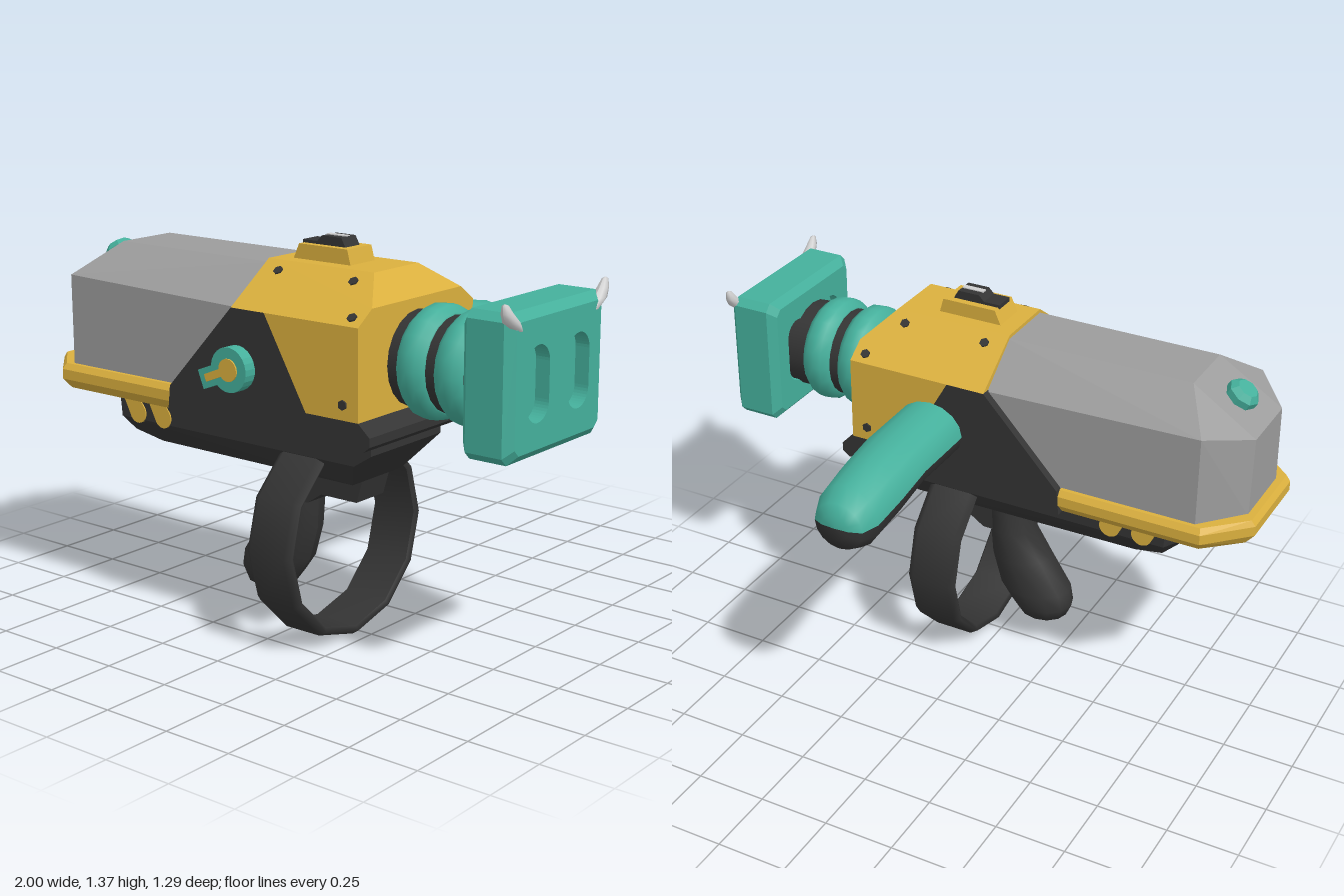
import * as THREE from 'three';
import { ConvexGeometry } from 'three/addons/geometries/ConvexGeometry.js';

const ZC = 0.285; // the long body is offset from the origin by this much
const mat = (name, color, extra = {}) => {
  const m = new THREE.MeshStandardMaterial({ color, ...extra });
  m.name = name;
  return m;
};
const V = (x, y, z) => new THREE.Vector3(x, y, z);

// Convex solid from [x, y, halfWidth] points mirrored in z
const hull = (pts) => new ConvexGeometry(pts.flatMap(([x, y, w]) => [V(x, y, w), V(x, y, -w)]));

// Side-profile plate, from z0 to z1
function plate(shape, z0, z1) {
  const s = Array.isArray(shape) ? new THREE.Shape(shape.map(([x, y]) => new THREE.Vector2(x, y))) : shape;
  return new THREE.ExtrudeGeometry(s, { depth: z1 - z0, bevelEnabled: false, curveSegments: 10 }).translate(0, 0, z0);
}

// Skin through elliptical sections { c, a, b }, radii a and b along u and v
function loft(sections, u, v, n = 12, start = 0, sweep = Math.PI * 2) {
  const pos = [], idx = [];
  sections.forEach(({ c, a, b }, i) => {
    for (let j = 0; j <= n; j++) {
      const t = start + (sweep * j) / n;
      const p = c.clone().addScaledVector(u, a * Math.cos(t)).addScaledVector(v, b * Math.sin(t));
      pos.push(p.x, p.y, p.z);
      if (i < sections.length - 1 && j < n) {
        const k = i * (n + 1) + j, m = k + n + 1;
        idx.push(k, k + 1, m, k + 1, m + 1, m);
      }
    }
  });
  const g = new THREE.BufferGeometry();
  g.setAttribute('position', new THREE.Float32BufferAttribute(pos, 3));
  g.setIndex(idx);
  g.computeVertexNormals();
  return g;
}

export function createModel() {
  const root = new THREE.Group();
  root.name = 'blaster';
  const body = new THREE.Group();
  body.name = 'body';
  body.position.z = ZC;
  root.add(body);

  const gray = mat('gray', 0x9c9c9c);
  const dark = mat('charcoal', 0x343434);
  const yellow = mat('yellow', 0xdbb03e);
  const teal = mat('teal', 0x45b09c);
  const light = mat('lightGray', 0xcfcfcf);

  const add = (name, geo, m, x = 0, y = 0, z = 0) => {
    const mesh = new THREE.Mesh(geo, m);
    mesh.name = name;
    mesh.position.set(x, y, z);
    body.add(mesh);
    return mesh;
  };

  // Gray rear casing with chamfered end
  add('casing', hull([
    [-0.96, 0.84, 0.13], [-0.83, 0.84, 0.275], [-0.05, 0.84, 0.275],
    [-0.96, 1.125, 0.12], [-0.83, 1.165, 0.275], [-0.05, 1.145, 0.275],
    [-0.73, 1.272, 0.115], [-0.05, 1.272, 0.115],
  ]), gray);

  // Charcoal middle panel and base plate
  add('midPanel', plate([[-0.06, 1.15], [-0.34, 0.85], [-0.35, 0.76], [0.48, 0.76], [0.505, 0.78],
    [0.505, 0.81], [0.46, 0.85], [0.25, 0.85], [0.08, 1.15]], -0.305, 0.305), dark);

  // Yellow bumper around the rear base
  const rim = (y, d) => [[-1 + d, y, 0.165], [-0.86 + d * 0.4, y, 0.305 - d], [-0.345, y, 0.305 - d]];
  add('bumper', hull([...rim(0.85, 0.015), ...rim(0.83, 0), ...rim(0.795, 0), ...rim(0.76, 0.03)]), yellow);

  // Yellow front housing
  add('housingTop', hull([
    [-0.06, 1.15, 0.305], [0.46, 1.15, 0.305], [-0.06, 1.285, 0.115],
    [0.375, 1.285, 0.115], [0.46, 1.2, 0.235],
  ]), yellow);
  add('housingSide', hull([[0.08, 1.15, 0.305], [0.25, 0.85, 0.305], [0.46, 0.85, 0.305], [0.46, 1.15, 0.305]]), yellow);

  // Bolts on the housing, mirrored
  for (const s of [1, -1]) {
    for (const [x, y, z, tilt] of [[0.015, 1.256, 0.155, 0.63], [0.325, 1.256, 0.155, 0.63],
      [0.415, 1.171, 0.276, 0.63], [0.4, 0.9, 0.305, Math.PI / 2]]) {
      add('bolt', new THREE.CylinderGeometry(0.017, 0.017, 0.012, 6), dark, x, y, z * s).rotation.x = tilt * s;
    }
  }

  // Sight on the housing
  add('sightBase', plate([[0, 1.28], [0.24, 1.28], [0.225, 1.335], [0.025, 1.335]], -0.063, 0.063), yellow);
  add('sight', plate([[0.02, 1.33], [0.2, 1.33], [0.18, 1.365], [0.1, 1.365], [0.08, 1.345], [0.02, 1.345]], -0.037, 0.037), dark);
  add('sightMark', new THREE.BoxGeometry(0.08, 0.006, 0.022), light, 0.138, 1.365, 0);

  // Knob on the sloped end
  const knob = add('knob', new THREE.LatheGeometry(
    [[0.04, -0.03], [0.04, 0.005], [0.058, 0.005], [0.058, 0.03], [0.038, 0.05], [0, 0.05]].map(([x, y]) => new THREE.Vector2(x, y)), 8)
    .toNonIndexed(), teal, -0.85, 1.195, 0);
  knob.geometry.computeVertexNormals();
  knob.rotation.z = 0.58;

  // Key-shaped badge on the front side
  const keyhole = (r, w, len) => {
    const s = new THREE.Shape();
    const a = Math.asin(w / r);
    s.absarc(0, 0, r, Math.PI + a, Math.PI * 3 - a, false);
    s.lineTo(-len, w);
    s.lineTo(-len, -w);
    return s;
  };
  add('badge', plate(keyhole(0.075, 0.033, 0.13), 0.3, 0.35), teal, -0.035, 0.955, 0).rotation.z = 0.38;
  add('badgeInlay', plate(keyhole(0.038, 0.013, 0.105), 0.35, 0.355), yellow, -0.035, 0.955, 0).rotation.z = 0.38;

  // Lower hull with slanted stripes
  add('lowerHull', hull([
    [-0.77, 0.77, 0.12], [-0.7, 0.77, 0.187], [0.42, 0.77, 0.187], [0.42, 0.71, 0.187],
    [-0.765, 0.69, 0.11], [-0.69, 0.665, 0.187], [0.35, 0.665, 0.187],
    [-0.67, 0.61, 0.14], [-0.56, 0.58, 0.12], [0.3, 0.58, 0.13],
  ]), dark);
  for (const x of [-0.69, -0.57]) {
    const s = new THREE.Shape();
    s.moveTo(x + 0.07, 0.765);
    s.lineTo(x, 0.765);
    s.absarc(x + 0.08, 0.69, 0.038, Math.PI * 1.2, Math.PI * 2.2, false);
    add('stripe', plate(s, 0.183, 0.191), yellow);
    add('stripe', plate(s, -0.191, -0.183), yellow);
  }

  // Pistol grip, sections given as [y, xMin, xMax, halfDepth]
  const grip = [[0.64, -0.1, 0.06, 0.1], [0.46, -0.105, 0.05, 0.097], [0.35, -0.18, 0.045, 0.098], [0.23, -0.26, 0.01, 0.105],
    [0.17, -0.27, -0.035, 0.1], [0.125, -0.25, -0.07, 0.08], [0.095, -0.18, -0.1, 0.03], [0.09, -0.14, -0.14, 0]];
  add('grip', loft(grip.map(([y, l, r, d]) => ({ c: V((l + r) / 2, y, 0), a: (r - l) / 2, b: d })), V(1, 0, 0), V(0, 0, 1)), dark);

  // Trigger
  add('trigger', plate([[0, 0.6], [0, 0.46], [0.06, 0.46], [0.12, 0.5], [0.27, 0.5], [0.3, 0.6]], -0.072, 0.072), dark);

  // Twelve-sided hand guard
  add('handGuard', new THREE.LatheGeometry(
    [[0.325, -0.085], [0.342, -0.095], [0.358, -0.07], [0.358, 0.07], [0.342, 0.095], [0.325, 0.085], [0.325, -0.085]]
      .map(([x, y]) => new THREE.Vector2(x, y)), 12).rotateZ(Math.PI / 2), dark, 0.125, 0.36, 0);

  // Side handle: teal upper half, charcoal lower half, as [z, y, halfHeight, halfWidth]
  const handle = [[0.02, 0.96, 0.105, 0.125], [-0.27, 0.958, 0.102, 0.125], [-0.42, 0.93, 0.115, 0.123],
    [-0.56, 0.905, 0.115, 0.115], [-0.62, 0.9, 0.085, 0.09], [-0.642, 0.905, 0.045, 0.05], [-0.645, 0.905, 0, 0]]
    .map(([z, y, h, w]) => ({ c: V(0.147, y, z - ZC), a: w, b: h }));
  add('handleLower', loft(handle, V(1, 0, 0), V(0, -1, 0), 8, 0, Math.PI), dark);
  add('handleUpper', loft(handle, V(1, 0, 0), V(0, -1, 0), 8, Math.PI, Math.PI), teal);

  // Barrel with two teal collars
  add('barrel', new THREE.CylinderGeometry(0.158, 0.158, 0.4, 20).rotateZ(Math.PI / 2), dark, 0.63, 1.005, 0);
  const collar = [[0.15, -0.053], [0.165, -0.053], [0.185, -0.028], [0.188, 0], [0.185, 0.028], [0.165, 0.053], [0.15, 0.053]];
  for (const x of [0.553, 0.697]) {
    add('collar', new THREE.LatheGeometry(collar.map(([r, y]) => new THREE.Vector2(r, y)), 20).rotateZ(-Math.PI / 2), teal, x, 1.005, 0);
  }

  // Muzzle block with two oval recesses
  const W = 0.263, H = 0.23, C = 0.025;
  const face = new THREE.Shape([[W, C - H], [W, H - C], [W - C, H], [C - W, H], [-W, H - C], [-W, C - H], [C - W, -H], [W - C, -H]]
    .map(([x, y]) => new THREE.Vector2(x, y)));
  for (const s of [1, -1]) {
    const slot = new THREE.Path();
    slot.absarc(s * 0.112, 0.06, 0.06, 0, Math.PI, false);
    slot.absarc(s * 0.112, -0.06, 0.06, Math.PI, Math.PI * 2, false);
    face.holes.push(slot);
  }
  const block = new THREE.ExtrudeGeometry(face, { depth: 0.185, steps: 7, bevelEnabled: false, curveSegments: 10 });
  const p = block.attributes.position;
  for (let i = 0; i < p.count; i++) {
    const outer = Math.abs(p.getX(i)) > 0.2 || Math.abs(p.getY(i)) > 0.2;
    const end = p.getZ(i) < 0.001 || p.getZ(i) > 0.184;
    if (outer && end) p.setXY(i, p.getX(i) * 0.89, p.getY(i) * 0.88); // chamfer the rims
  }
  block.computeVertexNormals();
  add('muzzleBlock', block.rotateY(Math.PI / 2), teal, 0.805, 1.02, 0);
  add('recessFloor', new THREE.BoxGeometry(0.1, 0.34, 0.44), teal, 0.89, 1.02, 0);

  // Curved horns on the upper muzzle corners
  for (const s of [1, -1]) {
    const horn = [[1.185, 0.2, 0], [1.195, 0.21, 0.022], [1.225, 0.243, 0.03], [1.255, 0.266, 0.022], [1.28, 0.276, 0.012], [1.285, 0.278, 0]]
      .map(([y, z, r]) => ({ c: V(0.975, y, z * s), a: r, b: r * 0.8 }));
    add('horn', loft(horn, V(0, 0, 1), V(1, 0, 0), 8), light);
  }
  return root;
}
